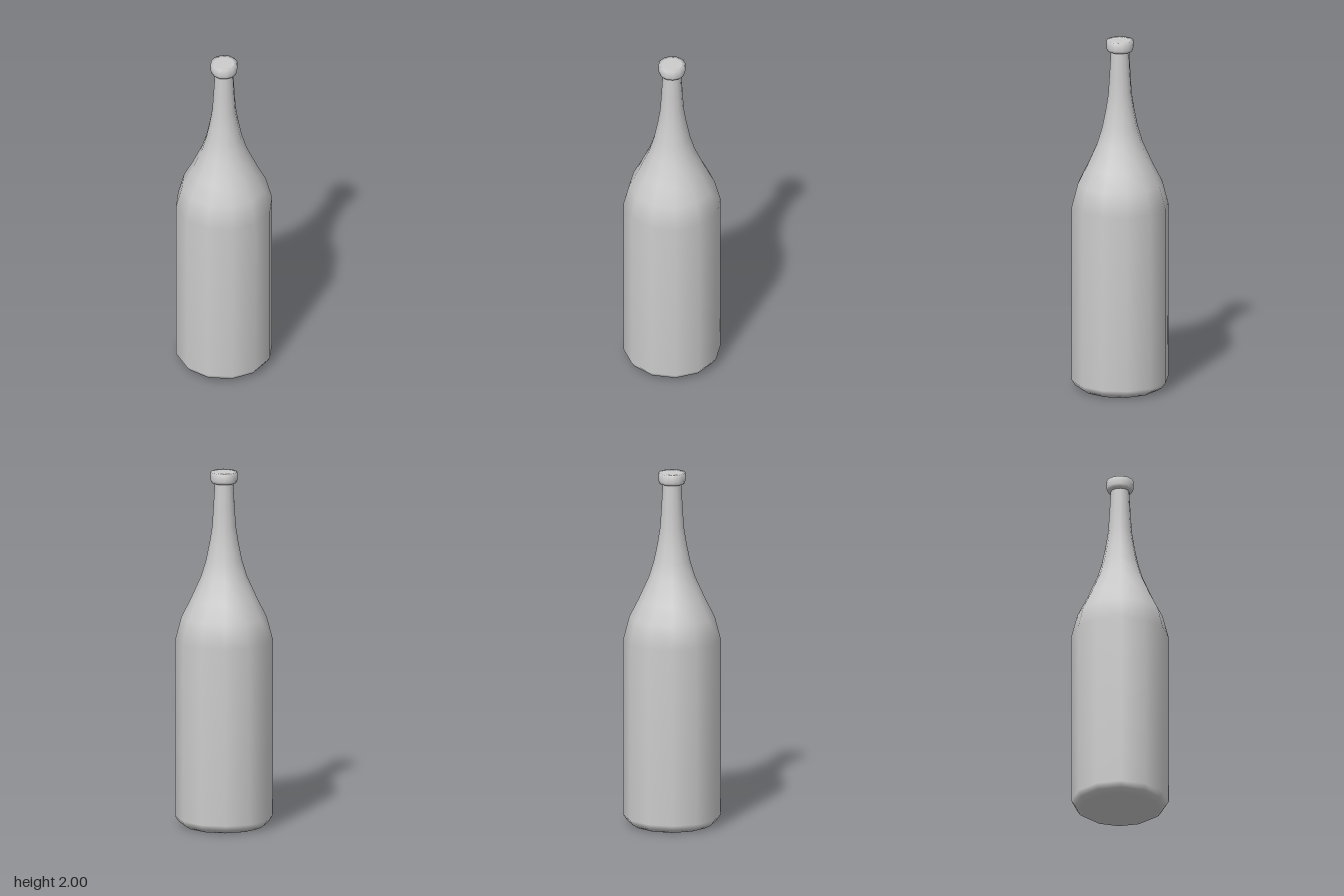
import * as THREE from 'three';

const SIDES = 12;

export function createModel() {
  const group = new THREE.Group();
  const grey = new THREE.MeshStandardMaterial({ color: 0xcccccc });
  grey.name = 'light grey';

  // Twelve-sided turned part from [radius, height] pairs, bottom to top
  const turn = (name, profile) => {
    const points = profile.map(([r, y]) => new THREE.Vector2(r, y));
    const mesh = new THREE.Mesh(new THREE.LatheGeometry(points, SIDES), grey);
    mesh.name = name;
    group.add(mesh);
  };

  // Bevelled base, straight body, sloping shoulder and long neck
  turn('bottleBody', [
    [0, 0], [0.22, 0], [0.25, 0.02], [0.27, 0.05],
    [0.27, 1.05], [0.236, 1.18], [0.185, 1.28], [0.127, 1.41],
    [0.1, 1.5], [0.08, 1.6], [0.066, 1.69], [0.059, 1.8], [0.051, 1.94],
  ]);

  // Closed lip at the top of the neck
  turn('bottleLip', [
    [0.05, 1.935], [0.07, 1.94], [0.075, 1.955], [0.075, 2], [0.054, 2], [0, 2],
  ]);

  return group;
}
